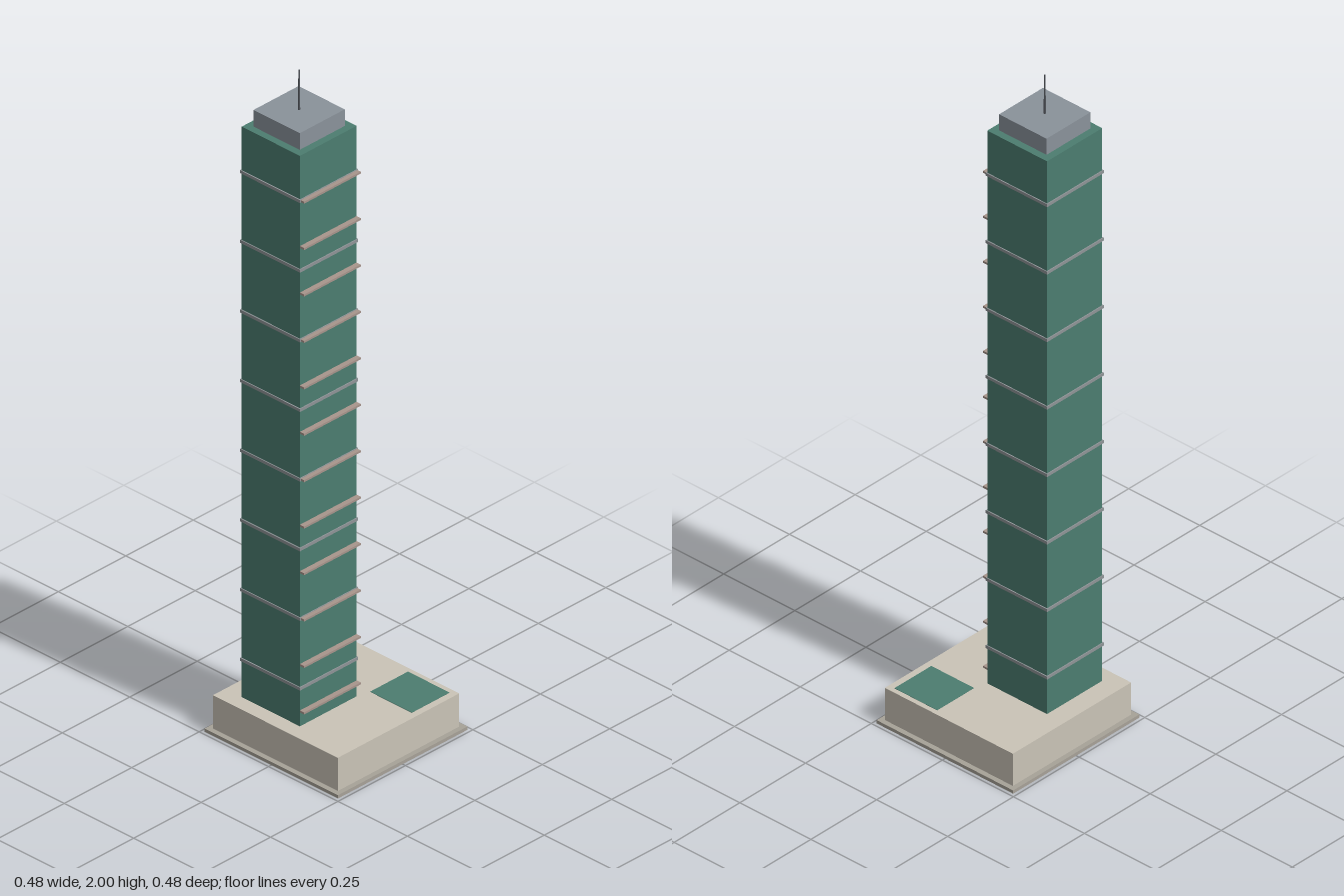
import * as THREE from 'three';

const mat = (name, color) => {
  const m = new THREE.MeshStandardMaterial({ color });
  m.name = name;
  return m;
};

export function createModel() {
  const model = new THREE.Group();
  model.name = 'skyscraper';

  const stone = mat('podium stone', 0xcac4b7);
  const paving = mat('plinth paving', 0xa7a298);
  const glass = mat('green glass', 0x4c7d70);
  const metal = mat('roof metal', 0x8a929a);
  const bandGrey = mat('band grey', 0x8f9497);
  const balconyClay = mat('balcony clay', 0xa8958c);
  const dark = mat('mast dark', 0x50545a);

  // Box given by its footprint centre, bottom height and size
  const box = (parent, name, material, x, y, z, w, h, d) => {
    const mesh = new THREE.Mesh(new THREE.BoxGeometry(w, h, d), material);
    mesh.name = name;
    mesh.position.set(x, y + h / 2, z);
    parent.add(mesh);
    return mesh;
  };

  // Ground slab, podium and its roof lawn
  box(model, 'plinth', paving, 0, 0, 0, 0.48, 0.01, 0.48);
  box(model, 'podium', stone, 0, 0.01, 0, 0.45, 0.1, 0.45);
  box(model, 'lawn', glass, 0.14, 0.109, 0.13, 0.14, 0.002, 0.15);

  // Tower group, set back from the podium's front left corner
  const tower = new THREE.Group();
  tower.name = 'tower';
  tower.position.set(-0.075, 0, -0.06);
  model.add(tower);
  const width = 0.21;
  box(tower, 'shaft', glass, 0, 0.11, 0, width, 1.72, width);

  // Bands wrapping all four sides
  for (let i = 0; i < 8; i++) {
    box(tower, 'floorBand', bandGrey, 0, 0.22 + i * 0.21, 0, width + 0.006, 0.009, width + 0.006);
  }

  // Shallow balconies on the front face
  for (let i = 0; i < 12; i++) {
    box(tower, 'balcony', balconyClay, 0, 0.152 + i * 0.14, width / 2 + 0.0075, width, 0.006, 0.015);
  }

  // Roof box and mast
  box(tower, 'roofBox', metal, 0, 1.83, 0, 0.167, 0.05, 0.167);
  const mast = new THREE.Mesh(new THREE.CylinderGeometry(0.002, 0.003, 0.12, 8), dark);
  mast.name = 'mast';
  mast.position.y = 1.94;
  tower.add(mast);

  return model;
}
